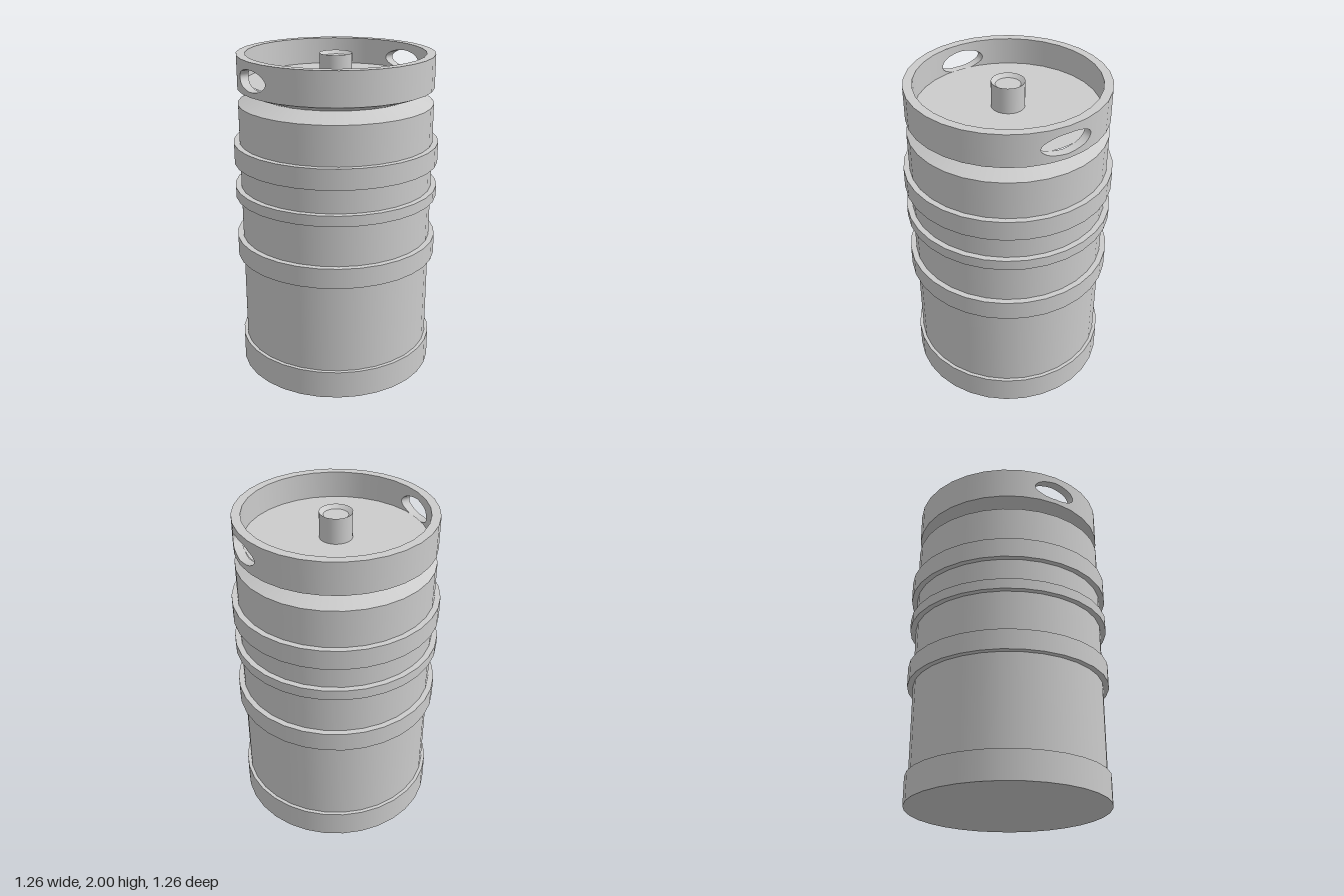
import * as THREE from 'three';
import { mergeGeometries } from 'three/addons/utils/BufferGeometryUtils.js';

const SIDES = 32, STEP = Math.PI * 2 / SIDES;
const R = 0.593, R_IN = 0.54;          // rim outer and inner radius
const RIM_LOW = 1.8, RIM_TOP = 2, FLOOR = 1.837;
const PANEL = 2;                       // handle panel spans this many sides each way
const grey = new THREE.MeshStandardMaterial({ color: 0xcccccc });

function add(parent, name, geometry) {
  const mesh = new THREE.Mesh(geometry, grey);
  mesh.name = name;
  parent.add(mesh);
  return mesh;
}

// Turned profile: smooth around, sharp at every profile corner
function turned(profile, start = 0, sides = SIDES) {
  const strips = [];
  for (let i = 0; i + 1 < profile.length; i++) {
    const pair = [profile[i], profile[i + 1]].map(([r, y]) => new THREE.Vector2(r, y));
    strips.push(new THREE.LatheGeometry(pair, sides, start, sides * STEP));
  }
  return mergeGeometries(strips);
}

// Depth of a point at x on the many-sided wall of radius r
function wallZ(x, r) {
  const a = Math.asin(THREE.MathUtils.clamp(x / r, -1, 1)) / STEP;
  const i = Math.floor(a + 1e-6);
  const x0 = r * Math.sin(i * STEP), x1 = r * Math.sin((i + 1) * STEP);
  const z0 = r * Math.cos(i * STEP), z1 = r * Math.cos((i + 1) * STEP);
  return z0 + (z1 - z0) * (x - x0) / (x1 - x0);
}

// Grid surface from loops of points; flip reverses the facing
function loops(rows, normalOf, flip) {
  const pos = [], nor = [], index = [], n = rows[0].length;
  for (const row of rows) for (const p of row) {
    pos.push(p.x, p.y, p.z);
    nor.push(...normalOf(p).normalize().toArray());
  }
  for (let j = 0; j + 1 < rows.length; j++) for (let i = 0; i + 1 < n; i++) {
    const a = j * n + i, b = a + 1, c = a + n, d = c + 1;
    index.push(...(flip ? [a, b, c, b, d, c] : [a, c, b, b, c, d]));
  }
  const g = new THREE.BufferGeometry();
  g.setAttribute('position', new THREE.Float32BufferAttribute(pos, 3));
  g.setAttribute('normal', new THREE.Float32BufferAttribute(nor, 3));
  g.setIndex(index);
  return g;
}

// Curved piece of rim with an oval hand hole cut straight through it
function handlePanel(halfWidth) {
  const N = 48, BANDS = 6, halfHeight = 0.062, holeY = 1.893;
  const midY = (RIM_LOW + RIM_TOP) / 2, halfRim = (RIM_TOP - RIM_LOW) / 2;
  const ring = (t, r) => Array.from({ length: N + 1 }, (_, i) => {
    const a = i / N * Math.PI * 2, c = Math.cos(a), s = Math.sin(a);
    const k = 1 / Math.max(Math.abs(c), Math.abs(s));
    const edge = r * Math.sin(PANEL * STEP);
    const x = THREE.MathUtils.lerp(c * halfWidth, c * k * edge, t);
    const y = THREE.MathUtils.lerp(holeY + s * halfHeight, midY + s * k * halfRim, t);
    return new THREE.Vector3(x, y, wallZ(x, r));
  });
  const wall = r => Array.from({ length: BANDS + 1 }, (_, j) => ring(j / BANDS, r));
  const outer = loops(wall(R), p => new THREE.Vector3(p.x, 0, p.z), false);
  const inner = loops(wall(R_IN), p => new THREE.Vector3(-p.x, 0, -p.z), true);
  const tunnel = loops([ring(0, R_IN), ring(0, R)], p => new THREE.Vector3(
    -p.x / halfWidth ** 2, -(p.y - holeY) / halfHeight ** 2, 0), false);
  return mergeGeometries([outer, inner, tunnel]);
}

export function createModel() {
  const keg = new THREE.Group();
  keg.name = 'keg';

  // Body with closed bottom, stepped foot and the V groove under the rim
  add(keg, 'body', turned([
    [0, 0], [0.615, 0], [0.615, 0.175], [R, 0.175], [R, 1.705], [0.475, 1.755], [R, RIM_LOW],
  ]));

  // Rolling hoops: bottom and top heights
  for (const [low, high] of [[0.745, 0.87], [1.13, 1.195], [1.345, 1.47]]) {
    add(keg, 'hoop', turned([[R, low], [0.628, low], [0.628, high], [R, high]]));
  }

  // Rim: flat lip, two plain side walls and two panels with hand holes
  const rim = new THREE.Group();
  rim.name = 'rim';
  keg.add(rim);
  add(rim, 'lip', turned([[R, RIM_TOP], [R_IN, RIM_TOP]]));
  const plain = SIDES / 2 - 2 * PANEL;
  for (const start of [PANEL * STEP, Math.PI + PANEL * STEP]) {
    add(rim, 'rimWall', mergeGeometries([
      turned([[R, RIM_LOW], [R, RIM_TOP]], start, plain),
      turned([[R_IN, RIM_TOP], [R_IN, RIM_LOW]], start, plain),
    ]));
  }
  add(rim, 'frontHandle', handlePanel(0.14));
  add(rim, 'backHandle', handlePanel(0.16)).rotation.y = Math.PI;

  // Recessed top and the central valve neck
  add(keg, 'topPlate', turned([[R_IN, FLOOR], [0, FLOOR]]));
  add(keg, 'valveNeck', turned([[0.098, FLOOR], [0.098, 1.995], [0.073, 1.975], [0, 1.975]]));

  return keg;
}
